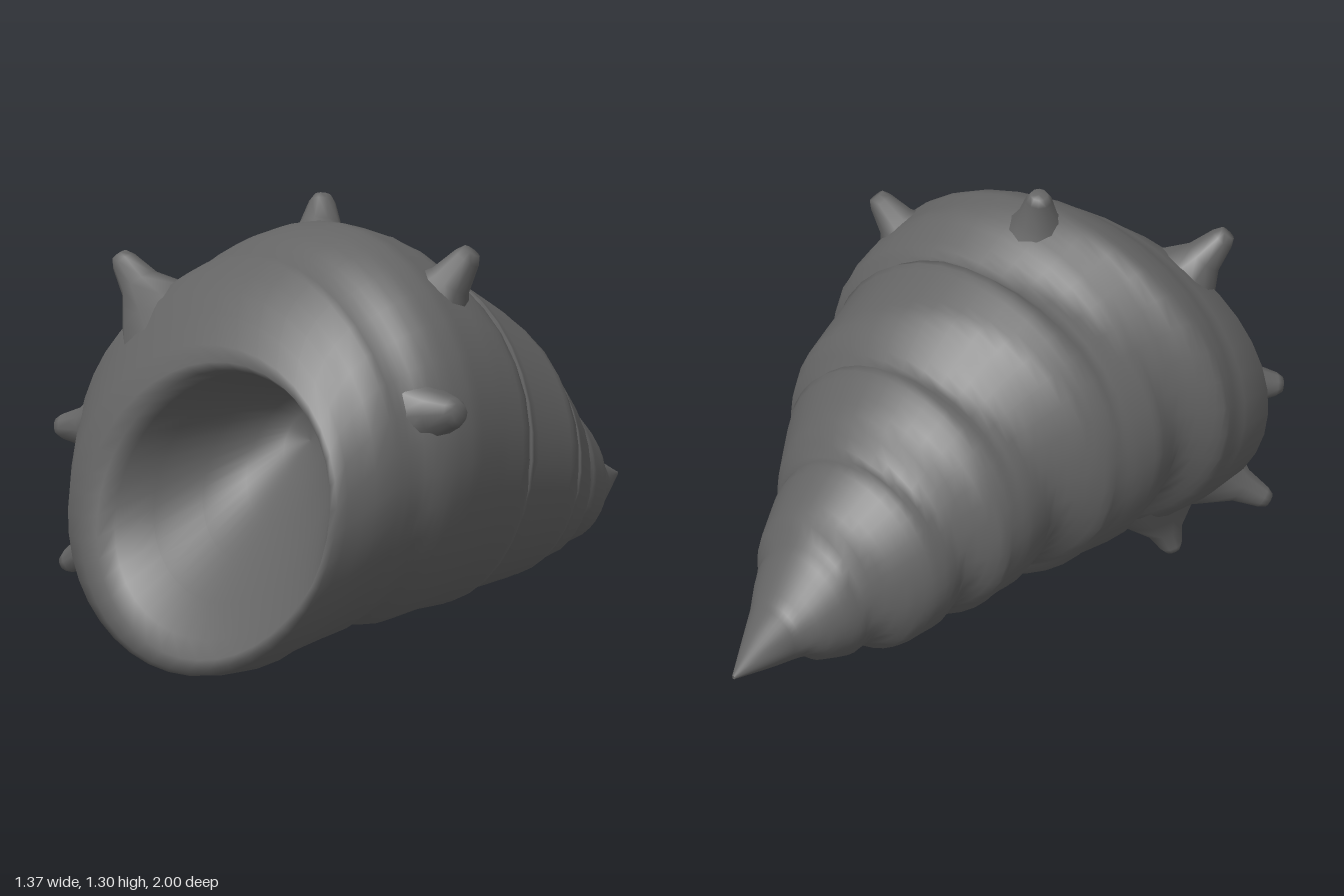
import * as THREE from 'three';

const material = new THREE.MeshStandardMaterial({ color: 0x646464, side: THREE.DoubleSide });
const SIDES = 40;
const { lerp, smoothstep } = THREE.MathUtils;

// Outline of the coiled spire: z, left edge, right edge, bottom, top
const spire = [
  [-1, -0.075, -0.065, 0.305, 0.315],
  [-0.8, -0.13, 0.07, 0.23, 0.4],
  [-0.65, -0.22, 0.18, 0.15, 0.56],
  [-0.5, -0.33, 0.25, 0.12, 0.7],
  [-0.33, -0.41, 0.37, 0.11, 0.84],
  [-0.2, -0.46, 0.45, 0.11, 0.94],
  [0, -0.53, 0.49, 0.09, 1.06],
  [0.1, -0.58, 0.55, 0.09, 1.12],
  [0.2, -0.63, 0.57, 0.09, 1.16],
  [0.33, -0.66, 0.6, 0.08, 1.19],
  [0.46, -0.68, 0.61, 0.07, 1.17],
  [0.56, -0.69, 0.6, 0.06, 1.13],
];

// Tilted loops over the lip and into the hollow:
// left, right, bottom, top edges, then z at left, right, bottom, top
const mouth = [
  [-0.68, 0.59, 0.04, 1.09, 0.71, 0.62, 0.72, 0.62],
  [-0.62, 0.58, 0.03, 1.05, 0.79, 0.65, 0.79, 0.67],
  [-0.5, 0.575, 0.05, 0.99, 0.86, 0.69, 0.87, 0.72],
  [-0.35, 0.57, 0.08, 0.92, 0.94, 0.72, 0.94, 0.77],
  [-0.24, 0.56, 0.11, 0.88, 0.95, 0.73, 0.97, 0.78],
  [-0.18, 0.55, 0.14, 0.86, 0.94, 0.72, 0.95, 0.76],
  [-0.15, 0.52, 0.19, 0.85, 0.9, 0.7, 0.92, 0.71],
  [-0.13, 0.47, 0.26, 0.83, 0.8, 0.66, 0.83, 0.63],
  [-0.1, 0.39, 0.34, 0.8, 0.66, 0.6, 0.72, 0.54],
  [-0.06, 0.29, 0.43, 0.76, 0.54, 0.54, 0.61, 0.47],
  [0, 0.19, 0.53, 0.71, 0.47, 0.48, 0.51, 0.44],
  [0.09, 0.09, 0.63, 0.63, 0.45, 0.45, 0.45, 0.45],
];

// z of the seam at every quarter turn (left, top, right, bottom), towards the apex
const seam = [0.31, 0.07, 0.04, 0.02, -0.1, -0.25, -0.28, -0.3, -0.38, -0.47, -0.51, -0.55,
  -0.62, -0.67, -0.7, -0.74, -0.8, -1.05];

function seamTurns(z) {
  if (z > seam[0]) return (seam[0] - z) / 0.5;
  let i = 0;
  while (i < seam.length - 2 && z < seam[i + 1]) i++;
  return (i + (seam[i] - z) / (seam[i] - seam[i + 1])) / 4;
}

// Each whorl swells quickly from the seam, stays broad and draws in at the next seam;
// the coil leans slightly towards the upper right
function whorlScale(z, angle) {
  const turns = (Math.PI - angle) / (2 * Math.PI) - seamTurns(z);
  const f = turns - Math.floor(turns);
  let k;
  if (f < 0.2) k = lerp(0.92, 1.05, f / 0.2);
  else if (f < 0.78) k = lerp(1.05, 1.02, (f - 0.2) / 0.58);
  else k = lerp(1.02, 0.92, (f - 0.78) / 0.22);
  k += 0.045 * Math.cos(angle - Math.PI / 4) ** 3;
  return lerp(k, 1, smoothstep(z, 0.38, 0.54));
}

function spireAt(z) {
  let i = 0;
  while (i < spire.length - 2 && z > spire[i + 1][0]) i++;
  const a = spire[i], b = spire[i + 1];
  const t = (z - a[0]) / (b[0] - a[0]);
  return a.slice(1).map((v, k) => lerp(v, b[k + 1], t));
}

// One closed skin: apex, spire, lip and hollow
function shellGeometry() {
  const positions = [], indices = [];
  let rows = 0;
  function addLoop([l, r, b, t, zl, zr, zb, zt], scale) {
    for (let j = 0; j < SIDES; j++) {
      const angle = (j / SIDES) * 2 * Math.PI;
      const c = Math.cos(angle), s = Math.sin(angle), k = scale(angle);
      positions.push(
        (l + r) / 2 + ((r - l) / 2) * c * k,
        (b + t) / 2 + ((t - b) / 2) * s * k,
        (zl + zr + zb + zt) / 4 + ((zr - zl) / 2) * c + ((zt - zb) / 2) * s,
      );
    }
    rows++;
  }
  const steps = 78;
  for (let i = 0; i <= steps; i++) {
    const z = lerp(-1, 0.56, i / steps);
    addLoop([...spireAt(z), z, z, z, z], (angle) => whorlScale(z, angle));
  }
  mouth.forEach((loop) => addLoop(loop, () => 1));

  for (let i = 0; i < rows - 1; i++) {
    for (let j = 0; j < SIDES; j++) {
      const a = i * SIDES + j, b = i * SIDES + ((j + 1) % SIDES);
      indices.push(a, b, a + SIDES, b, b + SIDES, a + SIDES);
    }
  }
  const geometry = new THREE.BufferGeometry();
  geometry.setAttribute('position', new THREE.Float32BufferAttribute(positions, 3));
  geometry.setIndex(indices);
  geometry.computeVertexNormals();
  return geometry;
}

// Flared blunt horn, one unit tall before scaling
const hornProfile = [[0.19, 0], [0.12, 0.35], [0.06, 0.65], [0.038, 0.92], [0.025, 1], [0, 1]]
  .map(([r, h]) => new THREE.Vector2(r, h));

function makeHorn(base, tip) {
  const from = new THREE.Vector3(...base), axis = new THREE.Vector3(...tip).sub(from);
  const horn = new THREE.Mesh(new THREE.LatheGeometry(hornProfile, 10), material);
  horn.name = 'horn';
  horn.position.copy(from);
  horn.scale.y = axis.length();
  horn.quaternion.setFromUnitVectors(new THREE.Vector3(0, 1, 0), axis.normalize());
  return horn;
}

export function createModel() {
  const group = new THREE.Group();
  group.name = 'spiralShell';

  const shell = new THREE.Mesh(shellGeometry(), material);
  shell.name = 'shell';
  group.add(shell);

  // Horns around the body whorl: buried base, tip
  const horns = new THREE.Group();
  horns.name = 'horns';
  [
    [[-0.06, 1.06, 0.31], [-0.12, 1.29, 0.24]],
    [[0.32, 0.93, 0.28], [0.47, 1.155, 0.2]],
    [[0.46, 0.75, 0.43], [0.68, 0.78, 0.43]],
    [[-0.33, 0.89, 0.61], [-0.485, 1.12, 0.7]],
    [[-0.47, 0.62, 0.68], [-0.66, 0.61, 0.83]],
    [[-0.42, 0.32, 0.69], [-0.67, 0.185, 0.82]],
    [[-0.36, 0.21, 0.58], [-0.455, 0.01, 0.6]],
  ].forEach(([base, tip]) => horns.add(makeHorn(base, tip)));
  group.add(horns);

  return group;
}
